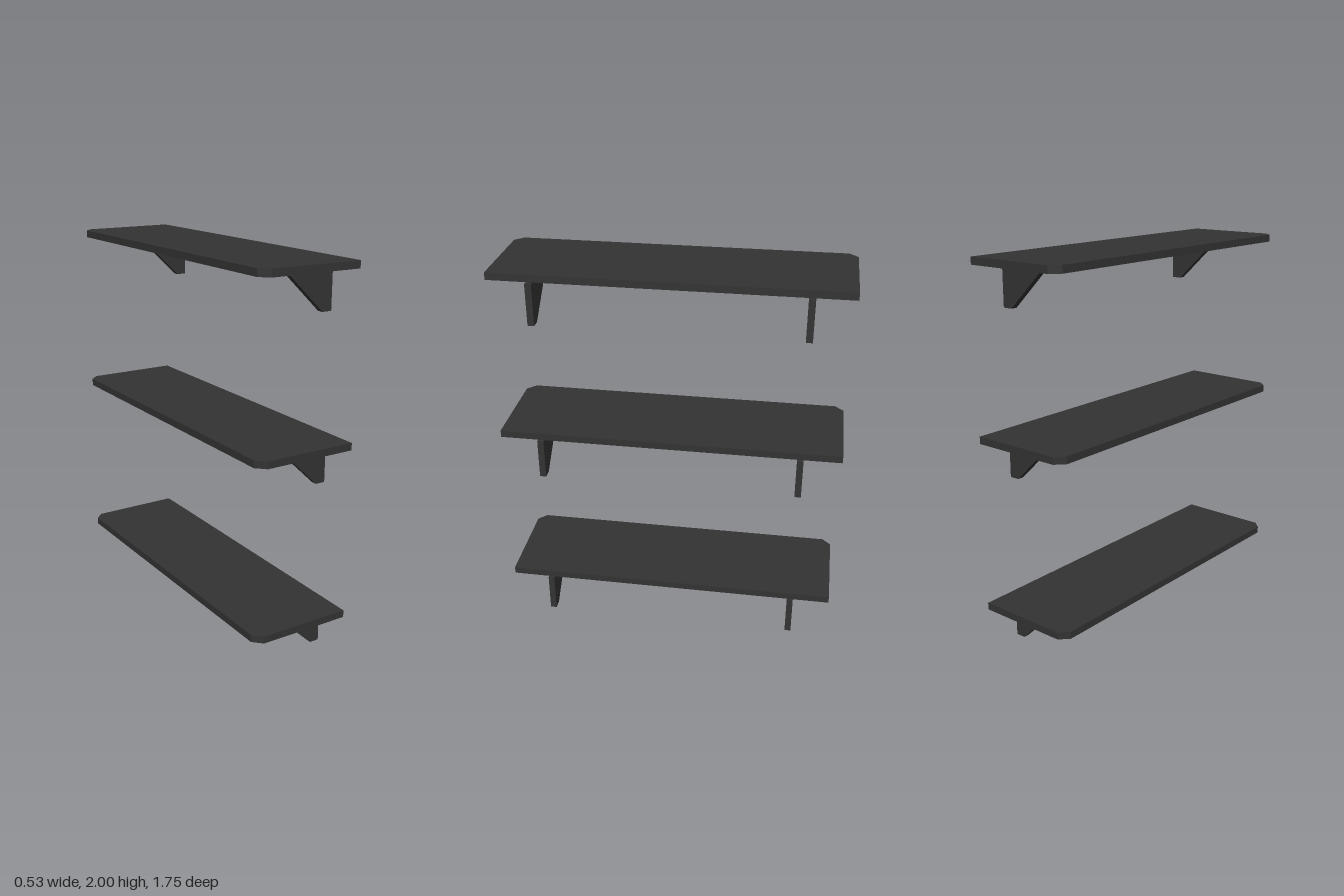
import * as THREE from 'three';

const BACK = 0.264, FRONT = -0.265, HALF = 0.875, CHAMFER = 0.045;
const THICK = 0.037, GAP = 0.01, BRACKET_H = 0.212, BRACKET_T = 0.033;

const outline = (points) => new THREE.Shape(points.map(([x, y]) => new THREE.Vector2(x, y)));
const extrude = (points, depth) =>
  new THREE.ExtrudeGeometry(outline(points), { depth, bevelEnabled: false });

export function createModel() {
  const model = new THREE.Group();
  model.name = 'wallShelves';
  const material = new THREE.MeshStandardMaterial({ color: 0x333333 });

  // Board with two clipped corners; top face at y = 0
  const boardGeometry = extrude([
    [BACK, -HALF], [BACK, HALF],
    [FRONT + CHAMFER, HALF], [FRONT, HALF - CHAMFER],
    [FRONT, -HALF + CHAMFER], [FRONT + CHAMFER, -HALF],
  ], THICK).rotateX(Math.PI / 2);

  // Triangular bracket with a blunt lower tip; top edge at y = 0
  const bracketGeometry = extrude([
    [-0.01, 0], [0.212, -BRACKET_H], [BACK, -BRACKET_H], [BACK, 0],
  ], BRACKET_T).translate(0, 0, -BRACKET_T / 2);

  // Three identical shelves, placed by the height of their top face
  for (const top of [THICK + GAP + BRACKET_H, 1.143, 2]) {
    const shelf = new THREE.Group();
    shelf.name = 'shelf';
    shelf.position.y = top;

    const board = new THREE.Mesh(boardGeometry, material);
    board.name = 'board';
    shelf.add(board);

    for (const side of [-1, 1]) {
      const bracket = new THREE.Mesh(bracketGeometry, material);
      bracket.name = 'bracket';
      bracket.position.set(0, -THICK - GAP, side * 0.667);
      shelf.add(bracket);
    }
    model.add(shelf);
  }
  return model;
}
